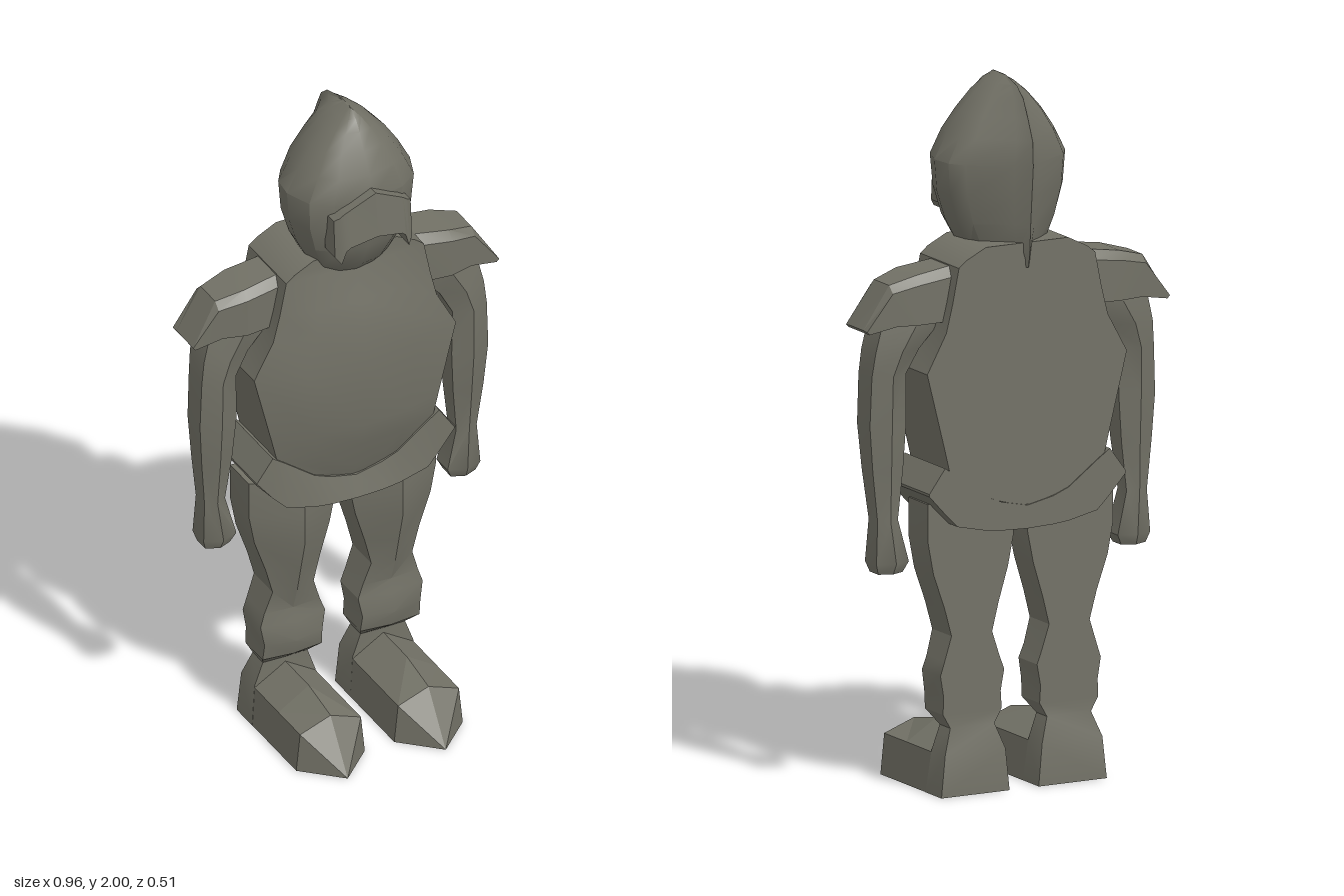
import * as THREE from 'three';
import { toCreasedNormals } from 'three/addons/utils/BufferGeometryUtils.js';

// Skin a list of closed rings and cap both ends; the winding always ends up outward.
function loft(rings, crease = 0.45) {
  const n = rings[0].length, tris = [];
  const V = rings.map(r => r.map(p => new THREE.Vector3(...p)));
  for (let i = 0; i + 1 < V.length; i++) {
    for (let j = 0; j < n; j++) {
      const k = (j + 1) % n;
      tris.push([V[i][j], V[i][k], V[i + 1][k]], [V[i][j], V[i + 1][k], V[i + 1][j]]);
    }
  }
  [V[0], V[V.length - 1]].forEach((ring, end) => {
    const c = ring.reduce((s, p) => s.add(p), new THREE.Vector3()).divideScalar(n);
    for (let j = 0; j < n; j++) {
      const a = ring[j], b = ring[(j + 1) % n];
      tris.push(end ? [c, a, b] : [c, b, a]);
    }
  });
  const cross = new THREE.Vector3();
  const solid = tris.filter(([a, b, c]) =>
    cross.subVectors(b, a).cross(c.clone().sub(a)).length() > 1e-9);
  const volume = solid.reduce((s, [a, b, c]) => s + a.dot(cross.crossVectors(b, c)), 0);
  const points = solid.flatMap(t => (volume < 0 ? [t[0], t[2], t[1]] : t));
  const geo = new THREE.BufferGeometry().setFromPoints(points);
  return toCreasedNormals(geo, crease);
}

export function createModel() {
  const group = new THREE.Group();
  const mat = new THREE.MeshStandardMaterial({ color: 0x727166 });
  mat.name = 'grey olive';
  const add = (name, rings, crease) => {
    const mesh = new THREE.Mesh(loft(rings, crease), mat);
    mesh.name = name;
    group.add(mesh);
  };
  // Mirror rings to either side, about x = offset
  const side = (rings, s, offset = 0) =>
    rings.map(r => r.map(([x, y, z]) => [s * x + offset, y, z]));

  // Torso: flat back, domed front [y, half width, dome depth]
  add('torso', [
    [0.81, 0.02, 0], [0.84, 0.13, 0.012], [0.93, 0.245, 0.036], [1.0, 0.262, 0.058],
    [1.21, 0.315, 0.06], [1.32, 0.255, 0.053], [1.4, 0.235, 0.035], [1.5, 0.215, 0.005],
    [1.52, 0.19, 0.002], [1.55, 0.13, 0],
  ].map(([y, w, d]) => [
    [w, y, -0.22], [w, y, 0], [w * 0.55, y, d * 0.75], [0, y, d],
    [-w * 0.55, y, d * 0.75], [-w, y, 0], [-w, y, -0.22],
  ]), 0.5);

  // Belt [x, top, bottom, front z at the bottom]
  const belt = [
    [0, 0.808, 0.742, 0.022], [0.08, 0.825, 0.745, 0.022], [0.13, 0.845, 0.75, 0.02],
    [0.22, 0.912, 0.77, 0.015], [0.26, 0.94, 0.81, 0.01], [0.31, 0.872, 0.865, 0.003],
  ];
  const beltAll = [...belt.slice(1).reverse().map(([x, ...r]) => [-x, ...r]), ...belt];
  add('belt', beltAll.map(([x, t, b, z]) => [
    [x, t, 0.006], [x, b, z], [x, b, -0.223], [x, t, -0.223],
  ]), 0.3);

  // Hooded head [y, half width, front z, back z]
  add('head', [
    [1.48, 0.075, 0.0, -0.228], [1.52, 0.118, 0.035, -0.235], [1.6, 0.16, 0.075, -0.24],
    [1.68, 0.185, 0.09, -0.247], [1.77, 0.192, 0.1, -0.255], [1.84, 0.155, 0.085, -0.252],
    [1.9, 0.115, 0.052, -0.225], [1.95, 0.07, 0.028, -0.2], [1.98, 0.034, 0.005, -0.165],
    [2.0, 0.002, -0.025, -0.1],
  ].map(([y, w, f, b]) => {
    const mid = -0.055, front = f - mid, back = b - mid;
    const half = [[0.55, 0.87], [0.85, 0.6], [1, 0.1]].map(([x, k]) => [x * w, y, mid + front * k]);
    half.push([0.96, 0.25], [0.8, 0.48], [0.2, 0.82]);
    for (let i = 3; i < 6; i++) half[i] = [half[i][0] * w, y, mid + back * half[i][1]];
    const other = half.map(([x, yy, z]) => [-x, yy, z]).reverse();
    return [[0, y, f], ...half, [0, y, b], ...other];
  }), 0.55);

  // Visor: peaked brow plate with a prong on each side
  const visor = [
    [0, 1.805, 1.67, 0.122, 0.136], [0.08, 1.762, 1.65, 0.112, 0.126],
    [0.092, 1.755, 1.64, 0.11, 0.124], [0.105, 1.745, 1.6, 0.108, 0.12],
    [0.12, 1.735, 1.62, 0.1, 0.108],
  ];
  const visorAll = [...visor.slice(1).reverse().map(([x, ...r]) => [-x, ...r]), ...visor];
  add('visor', visorAll.map(([x, t, b, zt, zb]) => [
    [x, t, zt], [x, b, zb], [x, b, 0.05], [x, t, 0.05],
  ]), 0.3);

  for (const s of [1, -1]) {
    const label = s > 0 ? 'left' : 'right';

    // Leg with a front ridge [y, inner x, outer x, side z, ridge z, back z]
    const c = 0.153;
    add(label + 'Leg', side([
      [0.83, 0.03, 0.292, -0.06, 0, -0.17], [0.72, 0.022, 0.292, -0.06, 0.008, -0.17],
      [0.63, 0.04, 0.275, -0.06, 0.008, -0.17], [0.53, 0.07, 0.24, -0.06, -0.018, -0.17],
      [0.45, 0.09, 0.218, -0.06, -0.038, -0.17], [0.38, 0.067, 0.24, -0.068, -0.062, -0.17],
      [0.34, 0.052, 0.253, -0.065, -0.052, -0.17], [0.28, 0.063, 0.243, -0.06, -0.042, -0.17],
      [0.23, 0.06, 0.245, -0.068, -0.058, -0.17], [0.19, 0.083, 0.222, -0.11, -0.108, -0.17],
      [0.12, 0.058, 0.248, -0.11, -0.105, -0.188], [0, 0.046, 0.261, -0.1, -0.1, -0.19],
    ].map(([y, a, b, z, r, k]) => [
      [a, y, k], [b, y, k], [b, y, z], [c, y, r], [a, y, z],
    ]), s, -0.0075), 0.5);

    // Foot with a wedge toe [z, bottom half width, shoulder half width, shoulder y, top y]
    const foot = [
      [-0.13, 0.107, 0.095, 0.115, 0.175], [0.03, 0.107, 0.095, 0.115, 0.175],
      [0.157, 0.107, 0.095, 0.115, 0.15],
    ].map(([z, w, v, h, t]) => [
      [c - w, 0, z], [c + w, 0, z], [c + v, h, z], [c, t, z], [c - v, h, z],
    ]);
    foot.push(Array(5).fill([c, 0, 0.258]));
    add(label + 'Foot', side(foot, s, -0.0075), 0.1);

    // Arm and hand [y, inner x, outer x, back z, front z]
    add(label + 'Arm', side([
      [1.47, 0.23, 0.36, -0.175, -0.04], [1.34, 0.235, 0.42, -0.178, -0.04],
      [1.27, 0.3, 0.437, -0.175, -0.038], [1.2, 0.338, 0.445, -0.165, -0.038],
      [1.06, 0.336, 0.45, -0.162, -0.04], [0.93, 0.345, 0.44, -0.157, -0.052],
      [0.79, 0.361, 0.425, -0.153, -0.068], [0.67, 0.33, 0.432, -0.164, -0.055],
      [0.64, 0.345, 0.422, -0.15, -0.07],
    ].map(([y, a, b, k, f]) => {
      const m = (a + b) / 2, d = (f - k) * 0.2;
      return [[a, y, k + d], [m, y, k], [b, y, k + d], [b, y, f - d], [m, y, f], [a, y, f - d]];
    }), s), 0.6);

    // Shoulder pad, each ring [top x, top y, bottom x, bottom y, back z, front z]
    add(label + 'ShoulderPad', side([
      [0.215, 1.497, 0.245, 1.345, -0.187, -0.038], [0.32, 1.482, 0.32, 1.345, -0.19, -0.03],
      [0.4, 1.46, 0.388, 1.345, -0.178, -0.048], [0.478, 1.34, 0.47, 1.33, -0.172, -0.052],
    ].map(([tx, ty, bx, by, k, f]) => {
      const my = ty - (ty - by) * 0.18;
      return [[bx, by, k], [tx, my, k], [tx, ty, k + 0.022], [tx, ty, f - 0.022], [tx, my, f], [bx, by, f]];
    }), s), 0.3);
  }
  return group;
}
